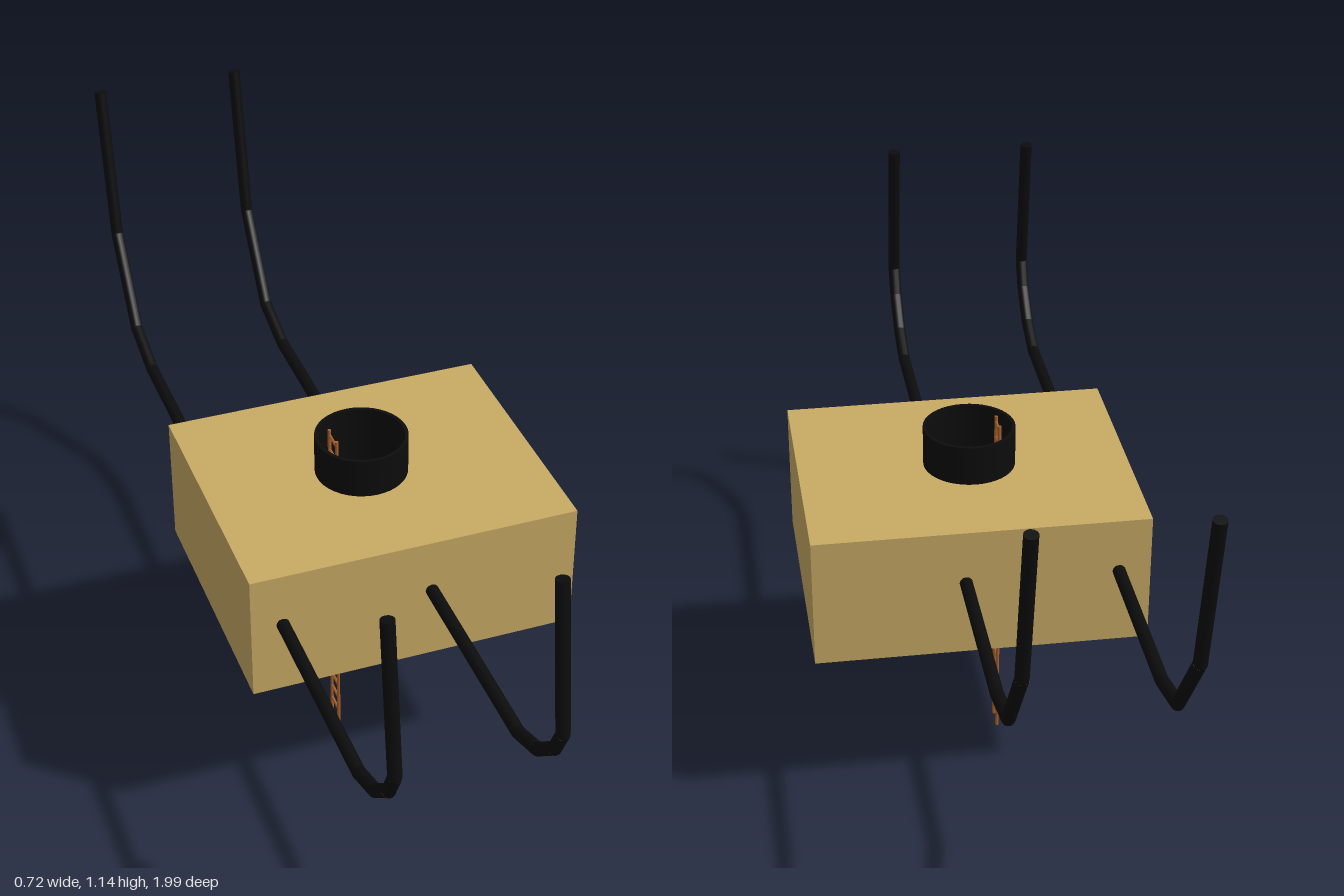
import * as THREE from 'three';

const paint = (color, extra = {}) => new THREE.MeshStandardMaterial({ color, ...extra });
const tan = paint(0xc8aa64);
const black = paint(0x0c0c0c);
const blackThin = paint(0x0c0c0c, { side: THREE.DoubleSide });
const wood = paint(0xa8622c);

const HATCH = { x: -0.016, z: 0.047, r: 0.1 };

function add(parent, name, geometry, material, x = 0, y = 0, z = 0) {
  const mesh = new THREE.Mesh(geometry, material);
  mesh.name = name;
  mesh.position.set(x, y, z);
  parent.add(mesh);
  return mesh;
}

// Straight round bar between two points
function bar(parent, name, a, b, radius, material, sides = 12) {
  const dir = b.clone().sub(a);
  const mesh = add(parent, name, new THREE.CylinderGeometry(radius, radius, dir.length(), sides), material);
  mesh.position.copy(a).add(b).multiplyScalar(0.5);
  mesh.quaternion.setFromUnitVectors(new THREE.Vector3(0, 1, 0), dir.normalize());
}

// Box body with a round shaft cut through it
function body() {
  const [x0, x1, z0, z1] = [-0.359, 0.356, -0.247, 0.34];
  const shape = new THREE.Shape();
  shape.moveTo(x0, -z1);
  shape.lineTo(x1, -z1);
  shape.lineTo(x1, -z0);
  shape.lineTo(x0, -z0);
  shape.closePath();
  const hole = new THREE.Path();
  hole.absarc(HATCH.x, -HATCH.z, HATCH.r - 0.003, 0, Math.PI * 2, true);
  shape.holes.push(hole);
  const geometry = new THREE.ExtrudeGeometry(shape, { depth: 0.293, bevelEnabled: false, curveSegments: 32 });
  return geometry.rotateX(-Math.PI / 2).translate(0, 0.4, 0);
}

// Bent bar running through the body, hooked up at both ends; points are [z, y]
function hookedBar(x) {
  const group = new THREE.Group();
  group.name = 'hookedBar';
  const points = [
    [0.94, 1.058], [0.985, 0.73], [0.955, 0.668], [0.885, 0.604], [0.795, 0.569],
    [-0.65, 0.573], [-0.78, 0.609], [-0.917, 0.797], [-0.982, 1.137],
  ].map(([z, y]) => new THREE.Vector3(x, y, z));
  points.slice(1).forEach((p, i) => {
    bar(group, 'barSegment', points[i], p, 0.014, black);
    if (i < points.length - 2) add(group, 'barJoint', new THREE.SphereGeometry(0.014, 12, 8), black, p.x, p.y, p.z);
  });
  return group;
}

// Thin ladder hanging through the shaft
function ladder() {
  const group = new THREE.Group();
  group.name = 'ladder';
  const x = -0.078, zs = [0.02, 0.066], top = 0.79;
  for (const z of zs) {
    bar(group, 'ladderRail', new THREE.Vector3(x, 0, z), new THREE.Vector3(x, top, z), 0.004, wood, 8);
  }
  for (let y = 0.037; y < top; y += 0.037) {
    bar(group, 'ladderRung', new THREE.Vector3(x, y, zs[0]), new THREE.Vector3(x, y, zs[1]), 0.0035, wood, 8);
  }
  return group;
}

export function createModel() {
  const model = new THREE.Group();
  model.name = 'hangingCabin';
  add(model, 'body', body(), tan);

  // Open shaft rising above the roof, dark inside
  const bottom = 0.398, top = 0.782;
  add(model, 'hatchShaft', new THREE.CylinderGeometry(HATCH.r, HATCH.r, top - bottom, 40, 1, true),
    blackThin, HATCH.x, (top + bottom) / 2, HATCH.z);
  add(model, 'hatchLining', new THREE.CylinderGeometry(HATCH.r - 0.008, HATCH.r - 0.008, top - bottom, 40, 1, true),
    blackThin, HATCH.x, (top + bottom) / 2, HATCH.z);
  for (const y of [bottom, top]) {
    add(model, 'hatchRim', new THREE.RingGeometry(HATCH.r - 0.008, HATCH.r, 40).rotateX(-Math.PI / 2),
      blackThin, HATCH.x, y, HATCH.z);
  }
  add(model, 'shaftFloor', new THREE.CircleGeometry(HATCH.r - 0.008, 40).rotateX(-Math.PI / 2),
    blackThin, HATCH.x, 0.55, HATCH.z);

  model.add(ladder());
  for (const x of [-0.291, 0.034]) model.add(hookedBar(x));
  return model;
}
